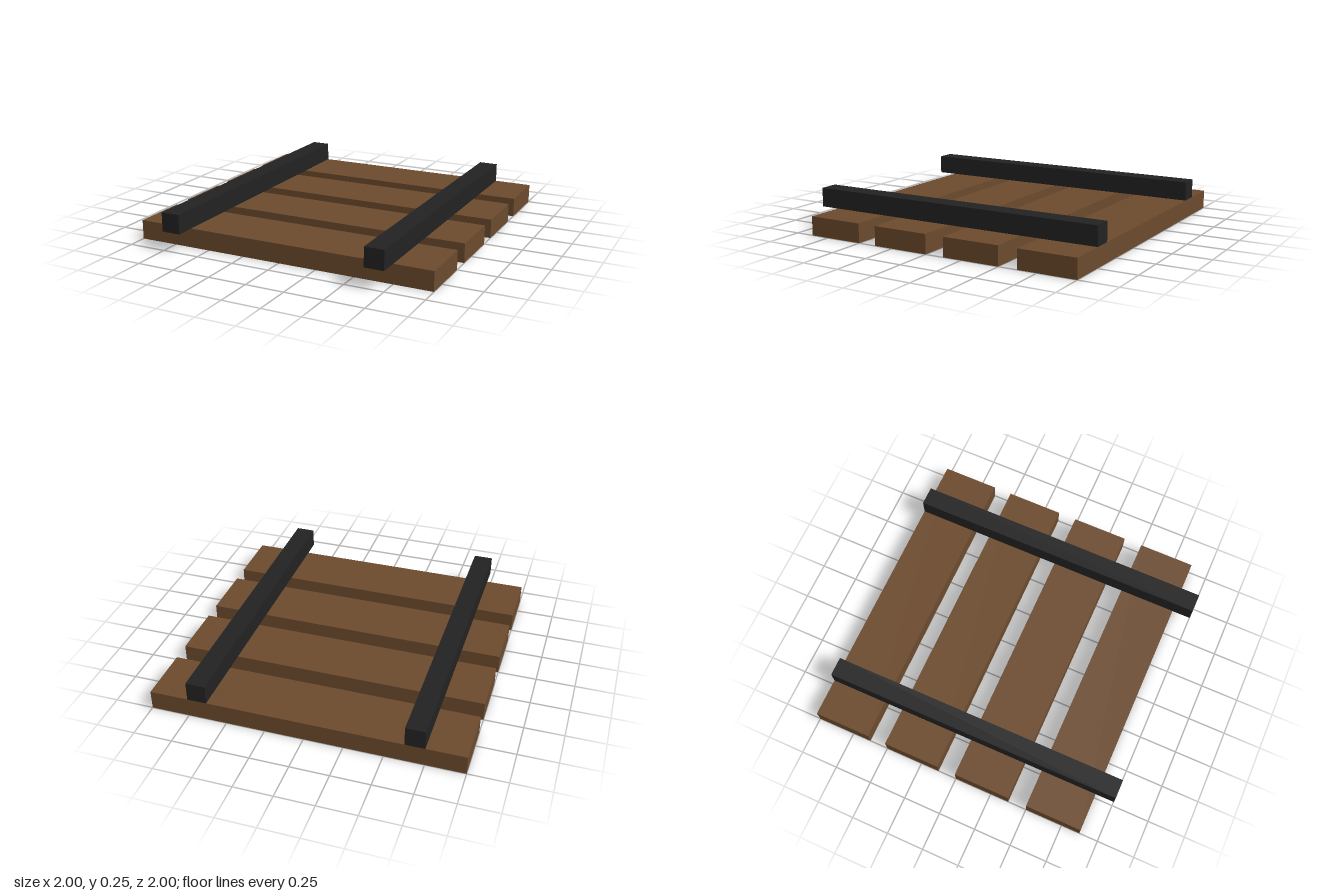
import * as THREE from 'three';

export function createModel() {
  const model = new THREE.Group();
  model.name = 'plankPanel';

  const wood = new THREE.MeshStandardMaterial({ color: 0x6b4a2d });
  wood.name = 'brownWood';
  const iron = new THREE.MeshStandardMaterial({ color: 0x222222 });
  iron.name = 'blackIron';

  const thickness = 0.125;

  // Four planks with a gap of one thickness after each
  const plankDepth = 0.375;
  const plankGeometry = new THREE.BoxGeometry(2, thickness, plankDepth);
  for (let i = 0; i < 4; i++) {
    const plank = new THREE.Mesh(plankGeometry, wood);
    plank.name = `plank${i + 1}`;
    plank.position.set(0, thickness / 2, -1 + plankDepth / 2 + i * 0.5);
    model.add(plank);
  }

  // Two square bars lying across the planks
  const barGeometry = new THREE.BoxGeometry(thickness, thickness, 2);
  for (const side of [-1, 1]) {
    const bar = new THREE.Mesh(barGeometry, iron);
    bar.name = side > 0 ? 'leftBar' : 'rightBar';
    bar.position.set(side * 0.6875, thickness * 1.5, 0);
    model.add(bar);
  }

  return model;
}
